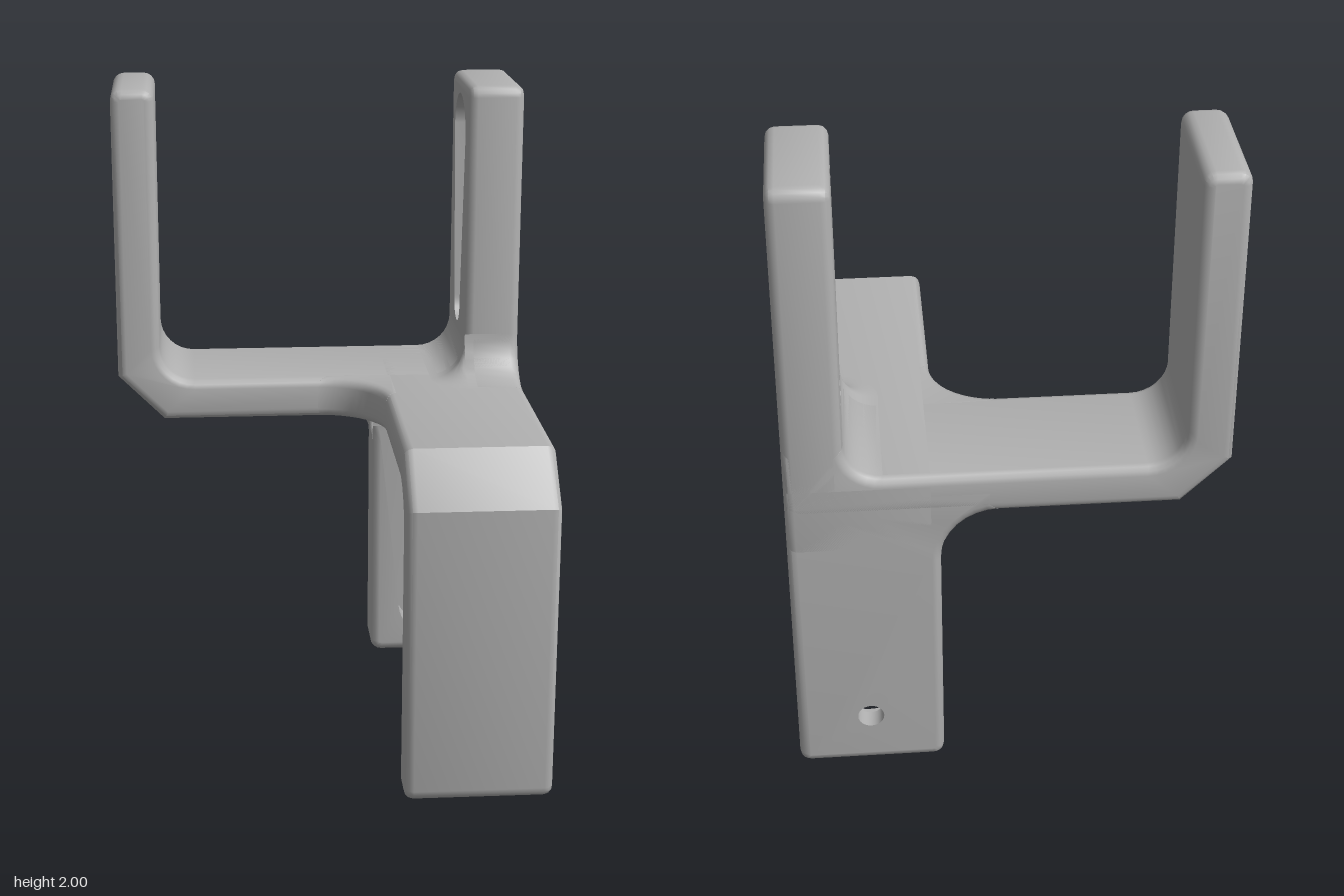
import * as THREE from 'three';
import { mergeGeometries, toCreasedNormals } from 'three/addons/utils/BufferGeometryUtils.js';

const H = 0.645;               // half of the footprint
const TOP = 1.065, BOT = 0.935; // faces of the middle plate
const BEVEL = 0.028;

const arc = (cx, cy, r, a0, a1, n = 8) => Array.from({ length: n + 1 }, (_, i) => {
  const a = THREE.MathUtils.degToRad(a0 + (a1 - a0) * i / n);
  return [cx + r * Math.cos(a), cy + r * Math.sin(a)];
});

// Moves a counter-clockwise outline inwards by d
function inset(pts, d) {
  const n = pts.length;
  const normal = (a, b) => {
    const l = Math.hypot(b[0] - a[0], b[1] - a[1]);
    return [(a[1] - b[1]) / l, (b[0] - a[0]) / l];
  };
  return pts.map((p, i) => {
    const m = normal(pts[(i + n - 1) % n], p), k = normal(p, pts[(i + 1) % n]);
    const s = d / (1 + m[0] * k[0] + m[1] * k[1]);
    return [p[0] + s * (m[0] + k[0]), p[1] + s * (m[1] + k[1])];
  });
}

// Skin between successive rings of 3D points
function skin(rings, closed = true) {
  const pos = [], n = rings[0].length;
  for (let j = 0; j + 1 < rings.length; j++) {
    for (let i = 0; i < (closed ? n : n - 1); i++) {
      const k = (i + 1) % n, [a, b] = [rings[j], rings[j + 1]];
      pos.push(...a[i], ...a[k], ...b[k], ...a[i], ...b[k], ...b[i]);
    }
  }
  const g = new THREE.BufferGeometry();
  g.setAttribute('position', new THREE.Float32BufferAttribute(pos, 3));
  return g;
}

const at = (pts, w) => pts.map(([u, v]) => [u, v, w]);

// Flat face at depth w, optionally with a hole, facing +z or -z
function face(pts, w, flip, hole) {
  const vec = list => list.map(p => new THREE.Vector2(...p));
  const shape = new THREE.Shape(vec(pts));
  if (hole) shape.holes.push(new THREE.Path(vec(hole)));
  const g = new THREE.ShapeGeometry(shape).translate(0, 0, w);
  if (flip) g.index.array.reverse();
  g.deleteAttribute('uv');
  g.deleteAttribute('normal');
  return g.toNonIndexed();
}

// Slab with rounded rims; may have a recess from the z = 0 side and a through hole
function slab(pts, T, recess, depth, hole) {
  const rim = [0, 30, 60, 90].map(a => {
    const r = THREE.MathUtils.degToRad(a);
    return [BEVEL * (1 - Math.sin(r)), BEVEL * (1 - Math.cos(r))];
  });
  const rings = [
    ...rim.map(([d, w]) => at(inset(pts, d), w)),
    ...rim.map(([d, w]) => at(inset(pts, d), T - w)).reverse(),
  ];
  const cap = inset(pts, BEVEL);
  const parts = [skin(rings), face(cap, 0, true, recess), face(cap, T, false, hole)];
  if (recess) {
    parts.push(skin([at(recess, depth), at(recess, 0)]), face(recess, depth, true, hole));
    parts.push(skin([at(hole, T), at(hole, depth)]));
  }
  return toCreasedNormals(mergeGeometries(parts), 0.6);
}

// One U-shaped half: crossbar with hook arm, and a mounting arm with keyhole slot.
// edge: distance of the arm's inner side from the centre; flare: its root radius
function buildHalf(material, edge, flare) {
  const half = new THREE.Group();
  const add = (name, geometry) => {
    const m = new THREE.Mesh(geometry, material);
    m.name = name;
    half.add(m);
    return m;
  };
  const r = 0.11, inner = 0.47, hook = -0.51, c = 0.035;

  // Crossbar and hook arm in one profile
  const bar = add('crossbarAndHookArm', slab([
    [-0.5, BOT], [H - 0.03, BOT], [H, BOT + 0.03], [H, TOP + r],
    ...arc(inner - r, TOP + r, r, 0, -90),
    ...arc(hook + r, TOP + r, r, -90, -180),
    ...arc(hook - c, 2 - c, c, 0, 90, 4),
    ...arc(-H + c, 2 - c, c, 90, 180, 4),
    [-H, 1.08],
  ], H - edge));
  bar.position.z = -H;

  // Mounting arm with teardrop slot and screw hole
  const mid = (H + edge) / 2, R = 0.13, s = 0.065, y0 = 1.82, y1 = 1.265;
  const t = THREE.MathUtils.radToDeg(Math.asin((R - s) / (y0 - y1)));
  const slot = [...arc(mid, y0, R, t, 180 - t, 20), ...arc(mid, y1, s, 180 - t, 360 + t, 16)];
  const screw = arc(mid, y0, 0.04, 0, 345, 23);
  const arm = add('mountingArm', slab([
    [edge - flare, 0.97], [H, 0.97],
    ...arc(H - c, 2 - c, c, 0, 90, 4),
    ...arc(edge + c, 2 - c, c, 90, 180, 4),
    ...arc(edge - flare, TOP + flare, flare, 0, -90),
  ], H - inner, slot, 0.115, screw));
  arm.rotation.y = Math.PI / 2;
  arm.position.x = inner;

  // Fillet running round the foot of the mounting arm
  const stations = [[inner, -H + BEVEL, 0], [inner, -edge, 0]];
  for (let i = 1; i <= 8; i++) stations.push([inner, -edge, i / 8]);
  stations.push([H - BEVEL, -edge, 1]);
  const rings = stations.map(([x, z, f]) => {
    const q = r + (flare - r) * f, a = f * Math.PI / 2;
    return arc(q, TOP + q, q, 180, 270).map(([d, y]) => [x - d * Math.cos(a), y, z + d * Math.sin(a)]);
  });
  add('armFillet', toCreasedNormals(skin(rings, false), 0.6));
  return half;
}

export function createModel() {
  const model = new THREE.Group();
  model.name = 'bracket';
  const grey = new THREE.MeshStandardMaterial({ color: 0xb0b0b0 });
  grey.name = 'grey';

  const upper = buildHalf(grey, 0.232, 0.14);
  upper.name = 'upperHalf';

  // The lower half is the upper one turned over about the diagonal
  const lower = buildHalf(grey, 0.197, 0.17);
  lower.name = 'lowerHalf';
  lower.rotateOnAxis(new THREE.Vector3(1, 0, -1).normalize(), Math.PI);
  lower.position.y = 2;

  // Rounded inside corner of the L-shaped plate
  const corner = new THREE.Mesh(slab([
    [0.26, -0.29], [0.26, -0.032], ...arc(-0.003, -0.032, 0.2, 0, -90, 12), [-0.003, -0.29],
  ], TOP - BOT), grey);
  corner.name = 'plateCorner';
  corner.rotation.x = Math.PI / 2;
  corner.position.y = TOP;

  model.add(upper, lower, corner);
  return model;
}
